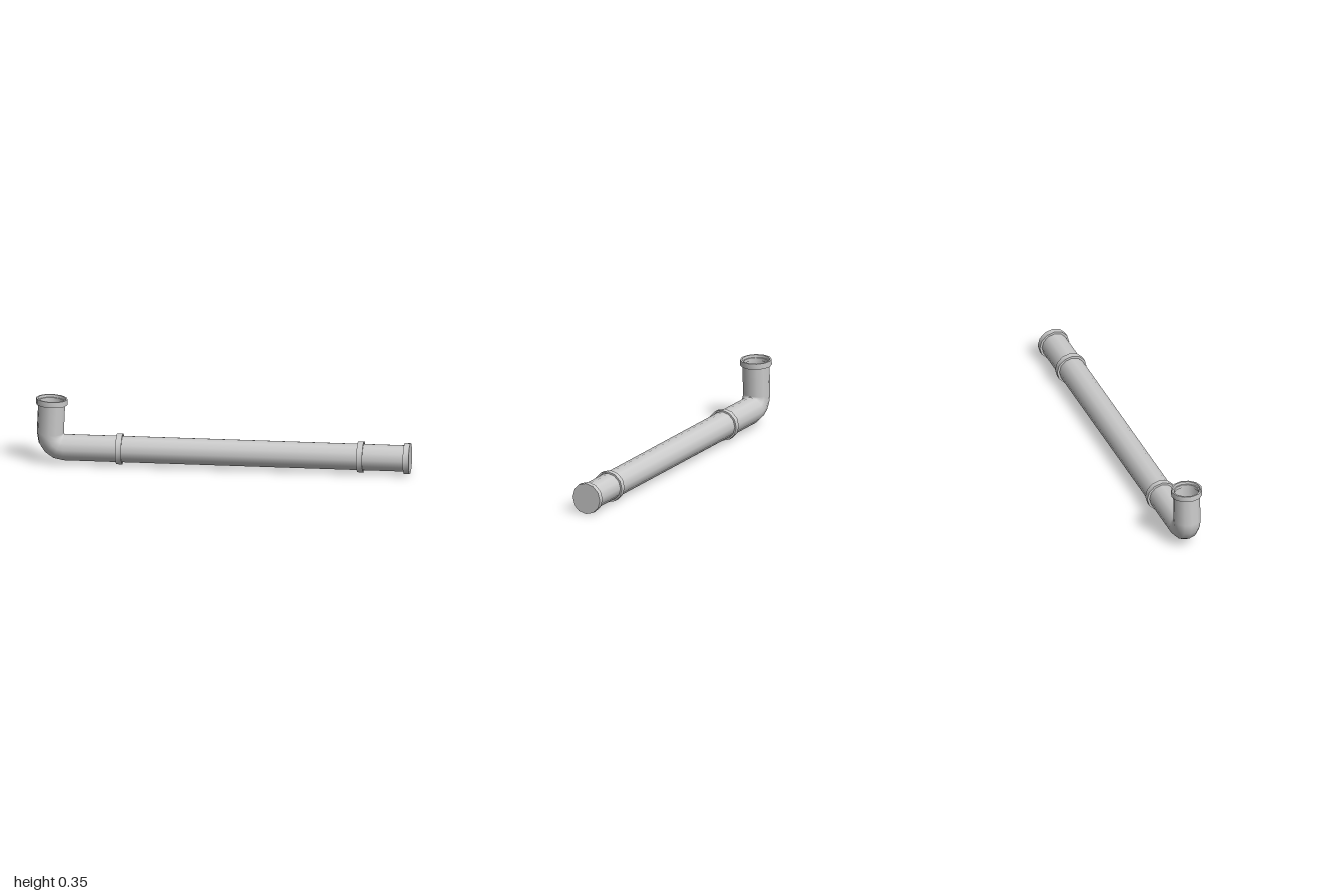
import * as THREE from 'three';
import { toCreasedNormals } from 'three/addons/utils/BufferGeometryUtils.js';

const SIDES = 12, PIPE_R = 0.072, COLLAR_R = 0.084, COLLAR_H = 0.031;
const AXIS_Y = 0.085, BEND_R = 0.075, LEG_X = -0.923;
const LEAN = THREE.MathUtils.degToRad(2.5);

const material = new THREE.MeshStandardMaterial({ color: 0xcccccc, side: THREE.DoubleSide });

function add(parent, name, geometry) {
  const mesh = new THREE.Mesh(geometry, material);
  mesh.name = name;
  parent.add(mesh);
  return mesh;
}

// Open pipe running along +y from y0 to y1
function addPipe(parent, name, y0, y1) {
  const geometry = new THREE.CylinderGeometry(PIPE_R, PIPE_R, y1 - y0, SIDES, 1, true);
  geometry.translate(0, (y0 + y1) / 2, 0);
  return add(parent, name, geometry);
}

// Socket collar with a recessed mouth, its open end at y = top
function addCollar(parent, name, top) {
  const profile = [
    [0.066, 0], [COLLAR_R, 0], [COLLAR_R, COLLAR_H],
    [0.075, COLLAR_H], [0.073, COLLAR_H - 0.014], [0.066, COLLAR_H - 0.014], [0.066, 0],
  ].map(([r, y]) => new THREE.Vector2(r, y));
  const geometry = toCreasedNormals(new THREE.LatheGeometry(profile, SIDES), 0.7);
  geometry.translate(0, top - COLLAR_H, 0);
  return add(parent, name, geometry);
}

export function createModel() {
  const model = new THREE.Group();
  model.name = 'drainPipe';
  const bendX = LEG_X + BEND_R, bendY = AXIS_Y + BEND_R;

  // Horizontal run: local +y points along +x
  const run = new THREE.Group();
  run.name = 'horizontalRun';
  run.position.y = AXIS_Y;
  run.rotation.z = -Math.PI / 2;
  model.add(run);
  addPipe(run, 'elbowTail', bendX, -0.55);
  addPipe(run, 'mainPipe', -0.55, 0.735);
  addPipe(run, 'endPipe', 0.735, 0.99);
  addCollar(run, 'elbowCollar', -0.536);
  addCollar(run, 'couplingCollar', 0.752);
  addCollar(run, 'endCollar', 1);
  const cap = add(run, 'endCap', new THREE.CircleGeometry(COLLAR_R, SIDES));
  cap.rotation.x = -Math.PI / 2;
  cap.position.y = 1;

  // Coarse bend, turning slightly past a right angle
  const start = Math.PI - LEAN;
  const bend = add(model, 'elbowBend',
    new THREE.TorusGeometry(BEND_R, PIPE_R, SIDES, 4, Math.PI / 2 + LEAN));
  bend.position.set(bendX, bendY, 0);
  bend.rotation.z = start;

  // Upright leg with an open socket
  const leg = new THREE.Group();
  leg.name = 'uprightLeg';
  leg.position.set(bendX + BEND_R * Math.cos(start), bendY + BEND_R * Math.sin(start), 0);
  leg.rotation.z = -LEAN;
  model.add(leg);
  addPipe(leg, 'uprightPipe', 0, 0.17);
  addCollar(leg, 'openCollar', 0.188);

  return model;
}
